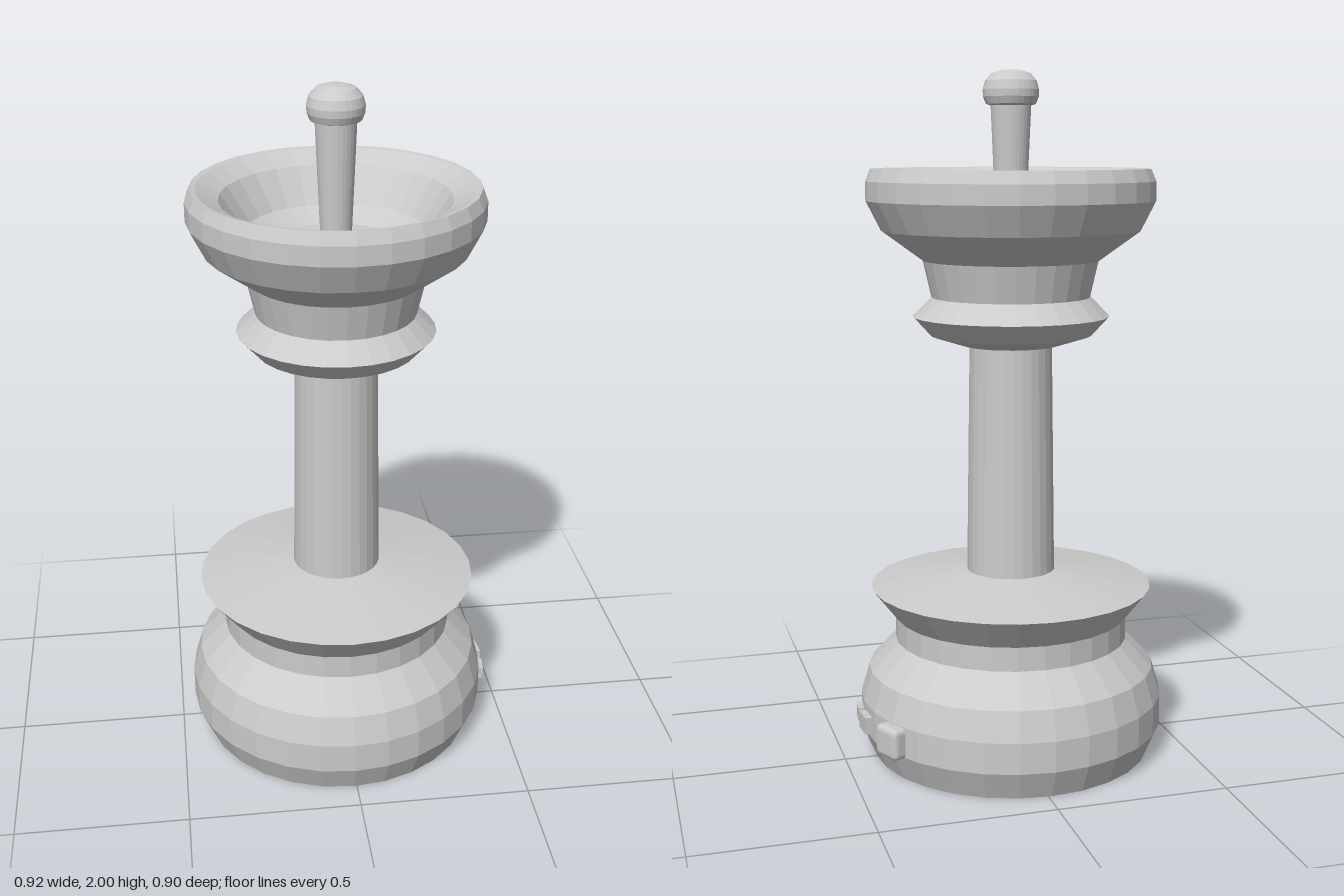
import * as THREE from 'three';
import { RoundedBoxGeometry } from 'three/addons/geometries/RoundedBoxGeometry.js';

const SIDES = 28;
const AXIS_X = -0.01;

export function createModel() {
  const model = new THREE.Group();
  model.name = 'pedestalWithStick';
  const grey = new THREE.MeshStandardMaterial({ color: 0xcccccc, flatShading: true });

  // Turned part from [radius, height] pairs, bottom to top
  const turned = (name, profile) => {
    const points = profile.map(([r, y]) => new THREE.Vector2(r, y));
    const mesh = new THREE.Mesh(new THREE.LatheGeometry(points, SIDES), grey);
    mesh.name = name;
    mesh.position.x = AXIS_X;
    model.add(mesh);
  };

  // Bulging base, neck and flared plate
  turned('base', [
    [0, 0], [0.414, 0], [0.45, 0.085], [0.45, 0.175], [0.425, 0.26], [0.345, 0.345],
    [0.345, 0.415], [0.415, 0.505], [0.125, 0.55], [0, 0.55],
  ]);

  // Slightly tapered column
  turned('column', [[0.13, 0.54], [0.12, 1.23]]);

  // Collar below the cup
  turned('collar', [
    [0, 1.22], [0.14, 1.22], [0.235, 1.25], [0.285, 1.305], [0.23, 1.36], [0.255, 1.47],
  ]);

  // Hollow cup, outside then over the rim to the floor
  turned('cup', [
    [0.255, 1.465], [0.372, 1.55], [0.415, 1.635], [0.415, 1.69], [0.4, 1.725],
    [0.385, 1.722], [0.323, 1.69], [0.255, 1.59], [0.18, 1.555], [0, 1.55],
  ]);

  // Stick with a round knob
  turned('stick', [[0.042, 1.54], [0.058, 1.91]]);
  turned('knob', [
    [0.055, 1.9], [0.071, 1.905], [0.079, 1.925], [0.08, 1.945], [0.073, 1.97],
    [0.055, 1.99], [0.03, 1.998], [0, 2],
  ]);

  // Controls set around the side of the base
  const addControl = (name, geometry, angle, radius) => {
    const mesh = new THREE.Mesh(geometry, grey);
    mesh.name = name;
    mesh.position.set(AXIS_X + radius * Math.cos(angle), 0.127, -radius * Math.sin(angle));
    mesh.rotation.y = angle;
    model.add(mesh);
  };
  addControl('smallButton', new THREE.BoxGeometry(0.04, 0.04, 0.055), -0.1, 0.445);
  addControl('mediumButton', new THREE.BoxGeometry(0.04, 0.05, 0.066), 0.1, 0.448);
  addControl('largeButton', new RoundedBoxGeometry(0.07, 0.092, 0.092, 2, 0.016), 0.46, 0.449);

  return model;
}
